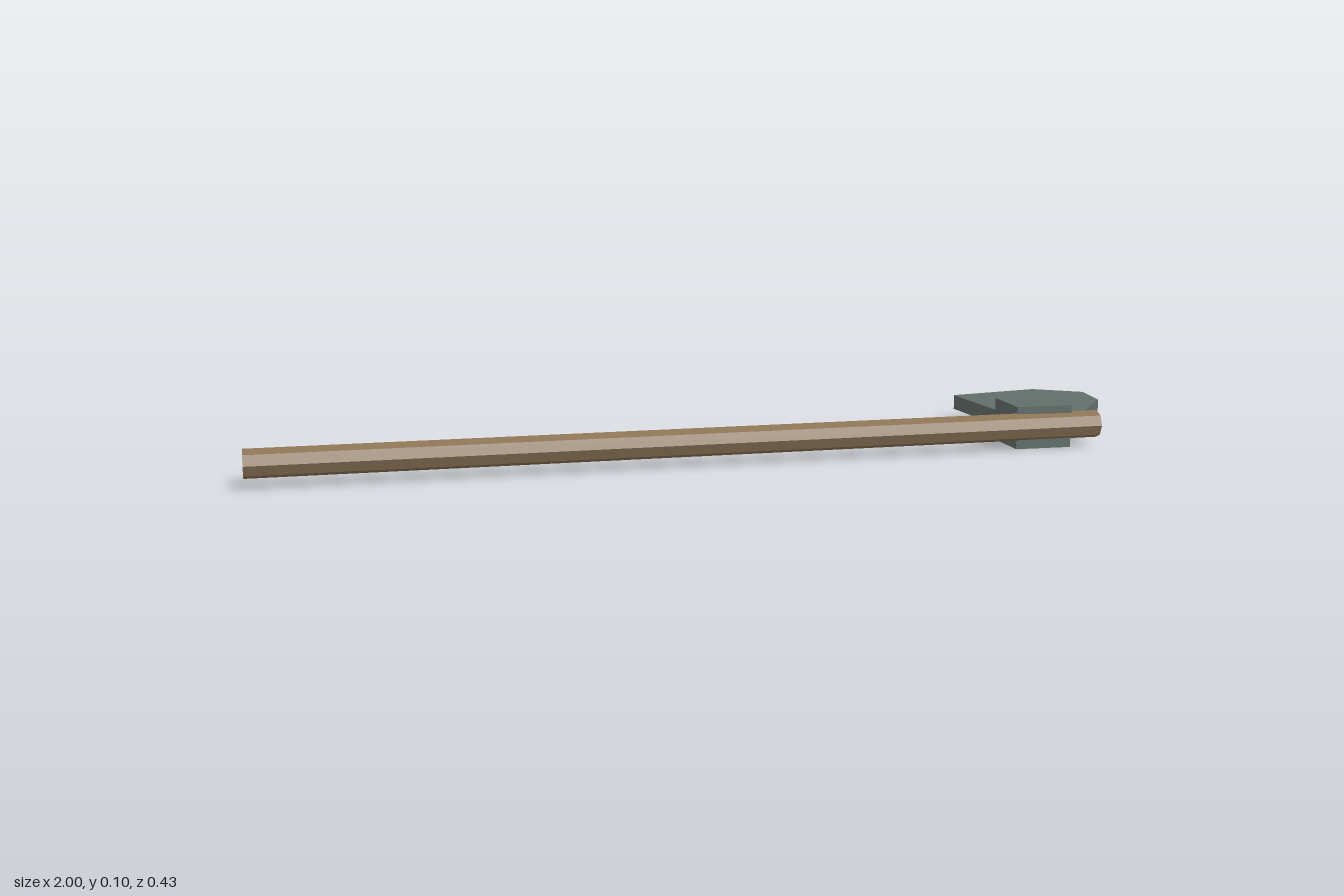
import * as THREE from 'three';

export function createModel() {
  const group = new THREE.Group();
  const wood = new THREE.MeshStandardMaterial({ color: 0x8b7355, flatShading: true });
  wood.name = 'wood';
  const metal = new THREE.MeshStandardMaterial({ color: 0x626e6a, flatShading: true });
  metal.name = 'grey metal';

  const add = (name, geometry, material, x, y, z) => {
    const mesh = new THREE.Mesh(geometry, material);
    mesh.name = name;
    mesh.position.set(x, y, z);
    group.add(mesh);
    return mesh;
  };

  // Long octagonal shaft lying along x
  const shaft = new THREE.CylinderGeometry(0.031, 0.031, 1.873, 8).rotateZ(Math.PI / 2);
  add('handle', shaft, wood, -0.0635, 0.05, 0.182);

  // Socket block, turned slightly about the vertical
  const socket = add('socket', new THREE.BoxGeometry(0.13, 0.096, 0.13), metal, 0.745, 0.048, 0.122);
  socket.rotation.y = -0.03;

  // Flat blade: outline in (x, z), extruded upwards
  const outline = [
    [0.674, -0.174], [0.898, -0.213], [1.0, -0.143],
    [0.985, -0.03], [0.875, 0.115], [0.692, 0.12],
  ];
  const shape = new THREE.Shape(outline.map(([x, z]) => new THREE.Vector2(x, -z)));
  const blade = new THREE.ExtrudeGeometry(shape, { depth: 0.034, bevelEnabled: false });
  add('blade', blade.rotateX(-Math.PI / 2), metal, 0, 0.032, 0);

  return group;
}
